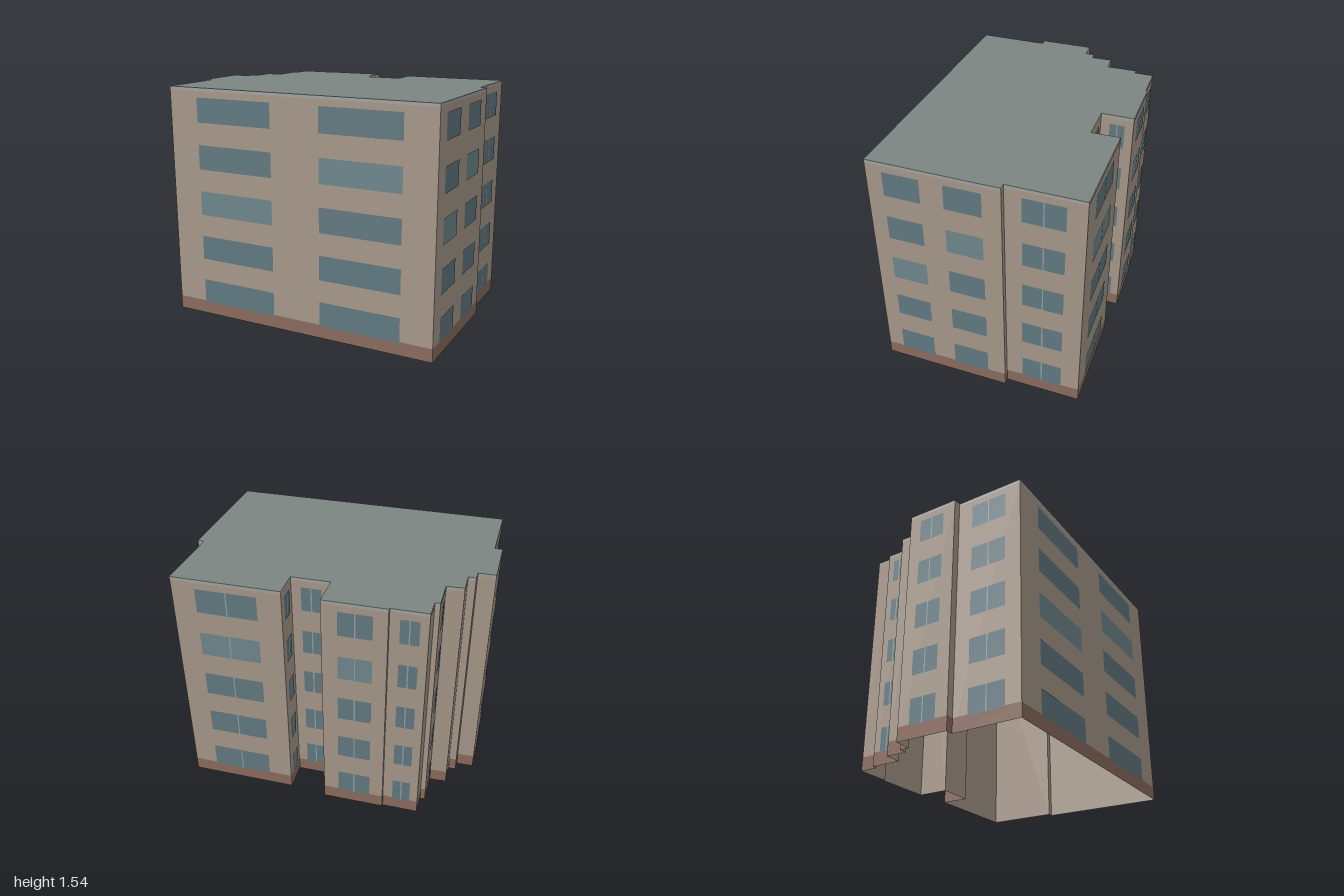
import * as THREE from 'three';

const HEIGHT = 1.545;
const FLOORS = 5;
const mat = (color, side = THREE.FrontSide) => new THREE.MeshStandardMaterial({ color, side });

// Footprint corners (x, z), starting at the front and running round the building
const corners = [
  [-1, 0.505], [0.835, 0.765], [0.965, -0.06], [0.925, -0.065], [1, -0.54],
  [0.31, -0.635], [0.286, -0.455], [0.04, -0.488], [0.072, -0.695],
  [-0.321, -0.748], [-0.326, -0.738], [-0.553, -0.768], [-0.572, -0.646],
  [-0.604, -0.651], [-0.631, -0.455], [-0.741, -0.465], [-0.759, -0.329],
  [-0.807, -0.336], [-0.818, -0.275], [-0.928, -0.288], [-0.979, 0.055], [-0.93, 0.063],
];

// Windows per wall: start and end along the wall, paler floor, divided by a mullion or not
const windows = {
  0: [[0.114, 0.409, 2, false], [0.591, 0.886, 3, false]],
  1: [[0.127, 0.406, 2, false], [0.582, 0.861, 3, false]],
  3: [[0.22, 0.755, -1, true]],
  4: [[0.22, 0.78, 3, true]],
  5: [[0.26, 0.76, -1, true]],
  6: [[0.25, 0.77, -1, true]],
  7: [[0.28, 0.74, -1, true]],
  8: [[0.25, 0.78, 3, true]],
  10: [[0.27, 0.77, -1, true]],
  13: [[0.24, 0.74, -1, true]],
  19: [[0.24, 0.76, -1, true]],
  21: [[0.23, 0.77, -1, true]],
};

// Upright rectangle on wall i, from fraction t0 to t1 and height y0 to y1
function panel(i, t0, t1, y0, y1, offset, material, name) {
  const [ax, az] = corners[i];
  const [bx, bz] = corners[(i + 1) % corners.length];
  const dx = bx - ax, dz = bz - az, len = Math.hypot(dx, dz);
  const t = (t0 + t1) / 2;
  const mesh = new THREE.Mesh(new THREE.PlaneGeometry(len * (t1 - t0), y1 - y0), material);
  mesh.position.set(ax + dx * t - (dz / len) * offset, (y0 + y1) / 2, az + dz * t + (dx / len) * offset);
  mesh.rotation.y = Math.atan2(-dz, dx);
  mesh.name = name;
  return mesh;
}

export function createModel() {
  const model = new THREE.Group();
  model.name = 'apartmentBlock';
  const group = (name) => {
    const g = new THREE.Group();
    g.name = name;
    model.add(g);
    return g;
  };
  const walls = group('walls'), plinth = group('plinth'), eaves = group('eaves'), glazing = group('windows');

  const wallMat = mat(0xa8998b, THREE.DoubleSide);
  const plinthMat = mat(0x8c6c5e);
  const eavesMat = mat(0xa3a5a2);
  const glassMat = mat(0x627a82);
  const paleGlassMat = mat(0x6f888e);
  const mullionMat = mat(0x93a3a5);

  corners.forEach((a, i) => {
    // Wall shell, open underneath, with base and top bands
    walls.add(panel(i, 0, 1, 0, HEIGHT, 0, wallMat, 'wall'));
    plinth.add(panel(i, 0, 1, 0, 0.09, 0.0015, plinthMat, 'plinthBand'));
    eaves.add(panel(i, 0, 1, 1.525, HEIGHT, 0.0015, eavesMat, 'eavesBand'));

    // Columns of windows
    for (const [t0, t1, pale, divided] of windows[i] ?? []) {
      for (let f = 0; f < FLOORS; f++) {
        const y = 0.083 + f * 0.3095;
        glazing.add(panel(i, t0, t1, y, y + 0.162, 0.003, f === pale ? paleGlassMat : glassMat, 'windowPane'));
        if (divided) {
          const b = corners[(i + 1) % corners.length];
          const half = 0.004 / Math.hypot(b[0] - a[0], b[1] - a[1]);
          const mid = (t0 + t1) / 2;
          glazing.add(panel(i, mid - half, mid + half, y, y + 0.162, 0.0045, mullionMat, 'mullion'));
        }
      }
    }
  });

  // Flat roof
  const outline = new THREE.Shape(corners.map(([x, z]) => new THREE.Vector2(x, -z)));
  const roof = new THREE.Mesh(new THREE.ShapeGeometry(outline).rotateX(-Math.PI / 2), mat(0x7c8581, THREE.DoubleSide));
  roof.position.y = HEIGHT;
  roof.name = 'roof';
  model.add(roof);

  return model;
}
